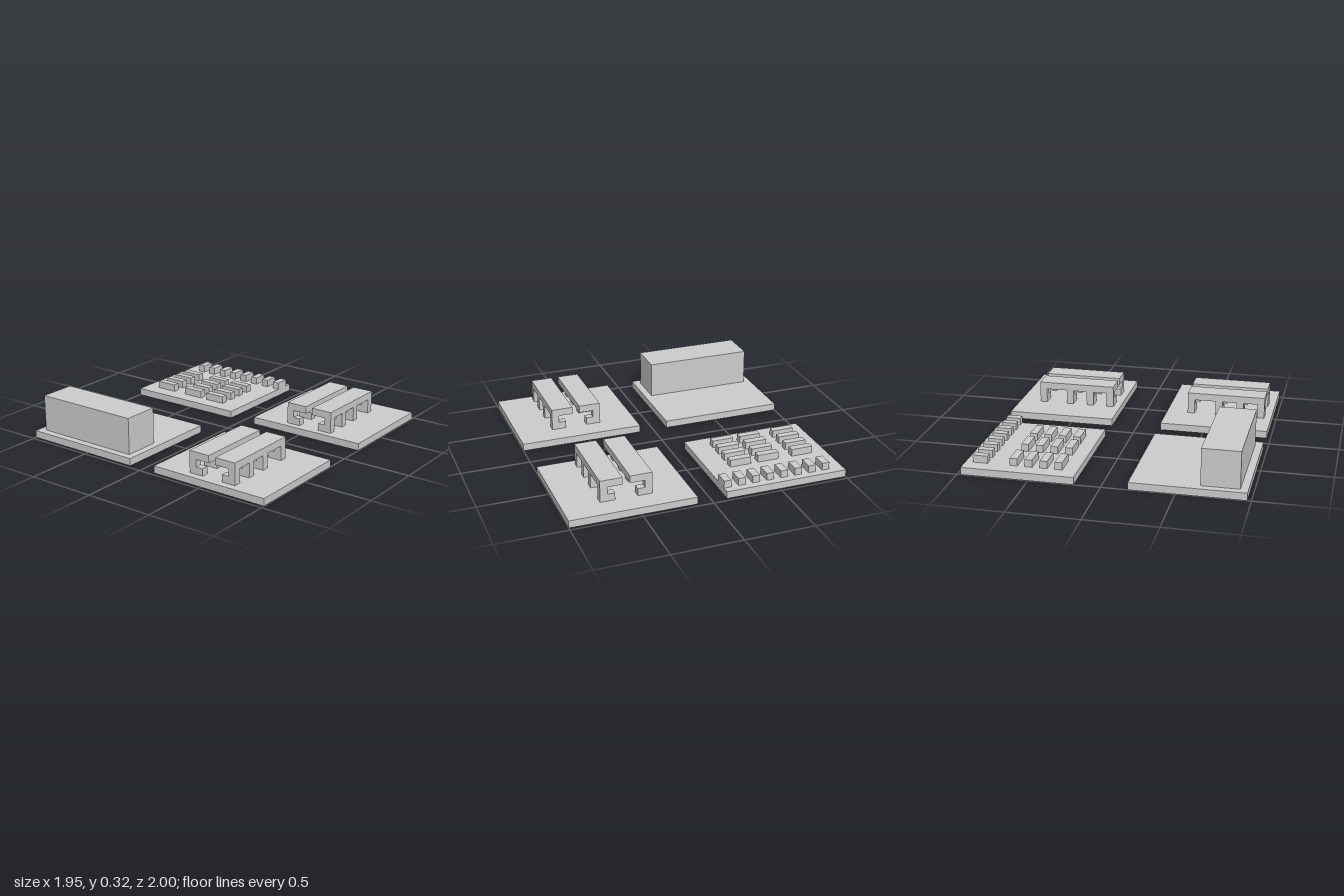
import * as THREE from 'three';

// everything sits on a square module grid, 38 modules deep
const U = 2 / 38;
const material = new THREE.MeshStandardMaterial({ color: 0xcccccc, flatShading: true });

// box from its minimum corner and size, in grid modules
function block(parent, name, [x, y, z], [w, h, d]) {
  const mesh = new THREE.Mesh(new THREE.BoxGeometry(w * U, h * U, d * U), material);
  mesh.position.set((x + w / 2) * U, (y + h / 2) * U, (z + d / 2) * U);
  mesh.name = name;
  parent.add(mesh);
}

function namedGroup(parent, name) {
  const group = new THREE.Group();
  group.name = name;
  parent.add(group);
  return group;
}

// one canopy: a flat roof on four posts, each with a foot pointing to the aisle
function canopy(parent, name, x, z, postAtFront) {
  const group = namedGroup(parent, name);
  block(group, 'canopyRoof', [x, 3, z], [11, 1, 3]);
  for (const dx of [0, 3, 6, 10]) {
    block(group, 'canopyPost', [x + dx, 1, postAtFront ? z + 2 : z], [1, 2, 1]);
    block(group, 'postFoot', [x + dx, 1, z + 1], [1, 1, 1]);
  }
}

export function createModel() {
  const model = new THREE.Group();
  model.name = 'fourPlots';

  // four ground slabs
  for (const x of [-18.5, 3.5])
    for (const z of [-19, 2]) block(model, 'groundSlab', [x, 0, z], [15, 1, 17]);

  // long hall on the back right plot
  block(model, 'hall', [-17.5, 1, -18], [5, 5, 15]);

  // facing pairs of canopies on the two front plots
  for (const x of [-17.5, 4.5]) {
    const pair = namedGroup(model, 'canopyPair');
    canopy(pair, 'backCanopy', x, 7, false);
    canopy(pair, 'frontCanopy', x, 11, true);
  }

  // low blocks on the back left plot: three rows of four, plus an edge row
  const yard = namedGroup(model, 'blockYard');
  for (const z of [-17, -12, -8])
    for (let i = 0; i < 4; i++) block(yard, 'longBlock', [5.5 + 2 * i, 1, z], [1, 1, 3]);
  for (let i = 0; i < 8; i++) block(yard, 'edgeBlock', [15.5, 1, -17 + 2 * i], [2, 1, 1]);

  return model;
}
